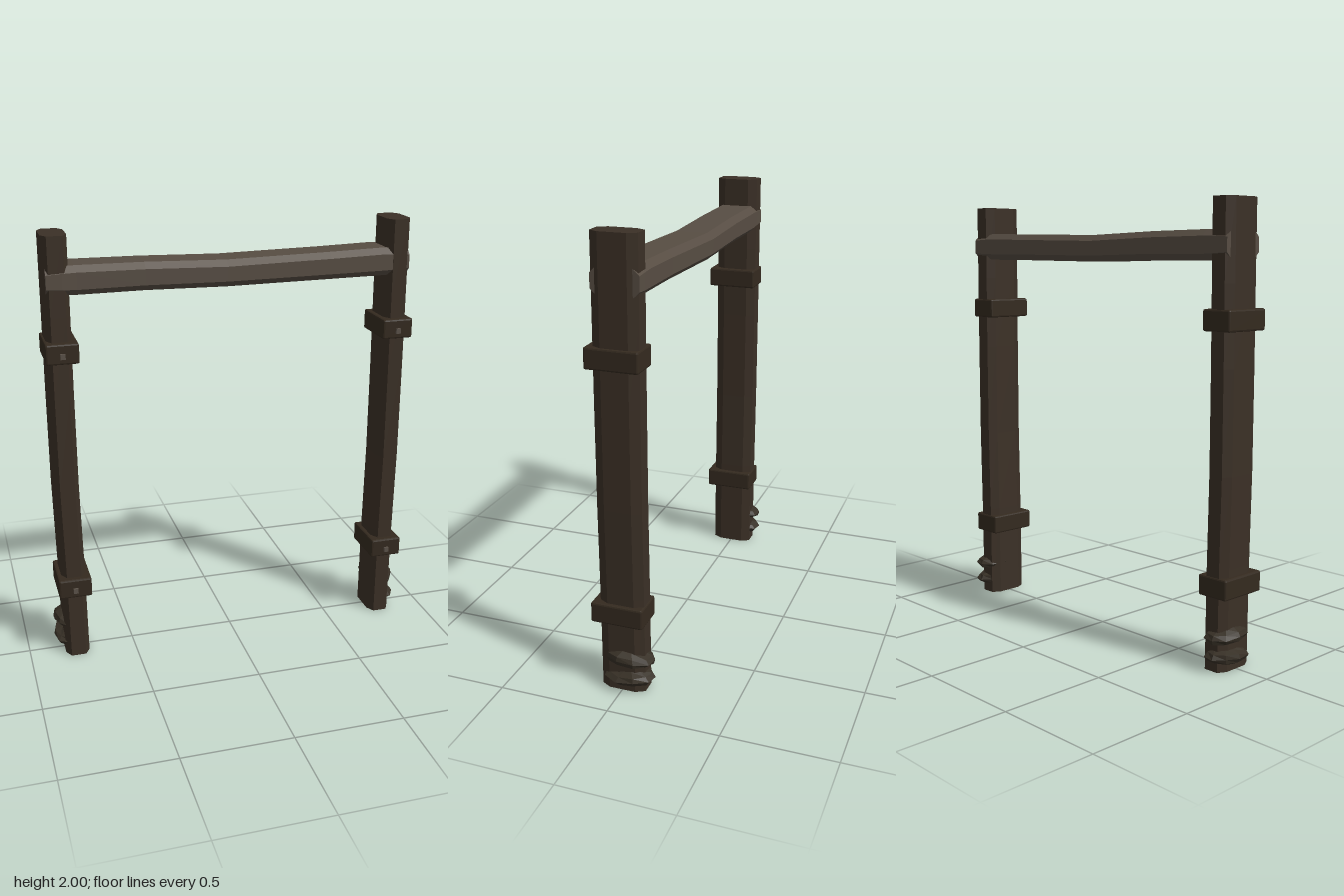
import * as THREE from 'three';
import { RoundedBoxGeometry } from 'three/addons/geometries/RoundedBoxGeometry.js';

const mat = (name, color) => {
  const m = new THREE.MeshStandardMaterial({ color, flatShading: true });
  m.name = name;
  return m;
};

// Chamfered timber: octagonal sections [t, u centre, v centre, u half, v half] along an axis
function timber(sections, cu, cv, place) {
  const rings = sections.map(([t, u, v, a, b]) =>
    [[a, cv - b], [a, b - cv], [a - cu, b], [cu - a, b], [-a, b - cv], [-a, cv - b], [cu - a, -b], [a - cu, -b]]
      .map(([p, q]) => place(t, u + p, v + q)));
  const out = [];
  const tri = (...pts) => pts.forEach((p) => out.push(...p));
  for (let i = 0; i < rings.length - 1; i++) {
    for (let j = 0; j < 8; j++) {
      const k = (j + 1) % 8, lo = rings[i], hi = rings[i + 1];
      tri(lo[j], hi[j], lo[k]);
      tri(lo[k], hi[j], hi[k]);
    }
  }
  const first = rings[0], last = rings[rings.length - 1];
  for (let j = 1; j < 7; j++) {
    tri(first[0], first[j], first[j + 1]);
    tri(last[0], last[j + 1], last[j]);
  }
  const g = new THREE.BufferGeometry();
  g.setAttribute('position', new THREE.Float32BufferAttribute(out, 3));
  g.computeVertexNormals();
  return g;
}

// Flattened, slightly lumpy fungus shelf
function shelf(seed) {
  const g = new THREE.SphereGeometry(1, 9, 6);
  const p = g.attributes.position;
  for (let i = 0; i < p.count; i++) {
    const x = p.getX(i), y = p.getY(i), z = p.getZ(i);
    const k = 1 + 0.06 * Math.sin(4 * x + 3 * z + 5 * y + seed);
    p.setXYZ(i, x * k * 0.078, (y * k + 0.12 * Math.sin(3 * z + seed)) * 0.038, z * k * 0.115);
  }
  g.computeVertexNormals();
  return g;
}

export function createModel() {
  const model = new THREE.Group();
  model.name = 'timberGate';
  const postWood = mat('dark post wood', 0x3b3026);
  const beamWood = mat('weathered beam wood', 0x574d43);
  const strap = mat('strap brown', 0x342a1f);
  const fungus = mat('fungus brown', 0x373026);
  const nailMetal = mat('nail metal', 0x5a5148);

  const add = (parent, name, geometry, material, x = 0, y = 0, z = 0) => {
    const mesh = new THREE.Mesh(geometry, material);
    mesh.name = name;
    mesh.position.set(x, y, z);
    parent.add(mesh);
    return mesh;
  };

  for (const s of [-1, 1]) {
    const side = new THREE.Group();
    side.name = s > 0 ? 'leftPost' : 'rightPost';
    model.add(side);

    // Slightly bowed upright
    const sections = [[0, 0.777, 0], [0.45, 0.78, 0], [0.85, 0.787, 0], [1.3, 0.787, 0], [1.65, 0.785, 0], [2, 0.784, 0]]
      .map(([y, x, z]) => [y, s * x, z, 0.056, 0.1]);
    add(side, 'post', timber(sections, 0.022, 0.04, (t, u, v) => [u, t, v]), postWood);

    // Straps, each with a nail on the front
    for (const [y, w] of [[0.37, 0.152], [1.498, 0.145]]) {
      add(side, 'strap', new RoundedBoxGeometry(w, 0.092, 0.235, 1, 0.008), strap, s * 0.779, y, 0.0125);
      add(side, 'nail', new THREE.BoxGeometry(0.022, 0.024, 0.02), nailMetal, s * 0.779, y - 0.008, 0.13);
    }

    // Fungus shelves low on the outer face
    add(side, 'upperFungus', shelf(1), fungus, s * 0.798, 0.155, -0.026);
    add(side, 'lowerFungus', shelf(3.5), fungus, s * 0.8, 0.063, -0.026);
  }

  // Sagging crossbeam, its ends let through the posts
  const beam = [
    [-0.83, 0, 1.806, 0.102, 0.058], [-0.76, 0, 1.806, 0.102, 0.062], [-0.7, -0.003, 1.805, 0.101, 0.064],
    [-0.4, -0.006, 1.804, 0.1, 0.062], [-0.03, -0.011, 1.795, 0.101, 0.06], [0.45, -0.002, 1.803, 0.1, 0.062],
    [0.7, -0.004, 1.807, 0.101, 0.064], [0.77, -0.004, 1.807, 0.104, 0.062], [0.83, -0.004, 1.807, 0.104, 0.058],
  ];
  add(model, 'crossbeam', timber(beam, 0.028, 0.027, (t, u, v) => [t, v, u]), beamWood);

  return model;
}
